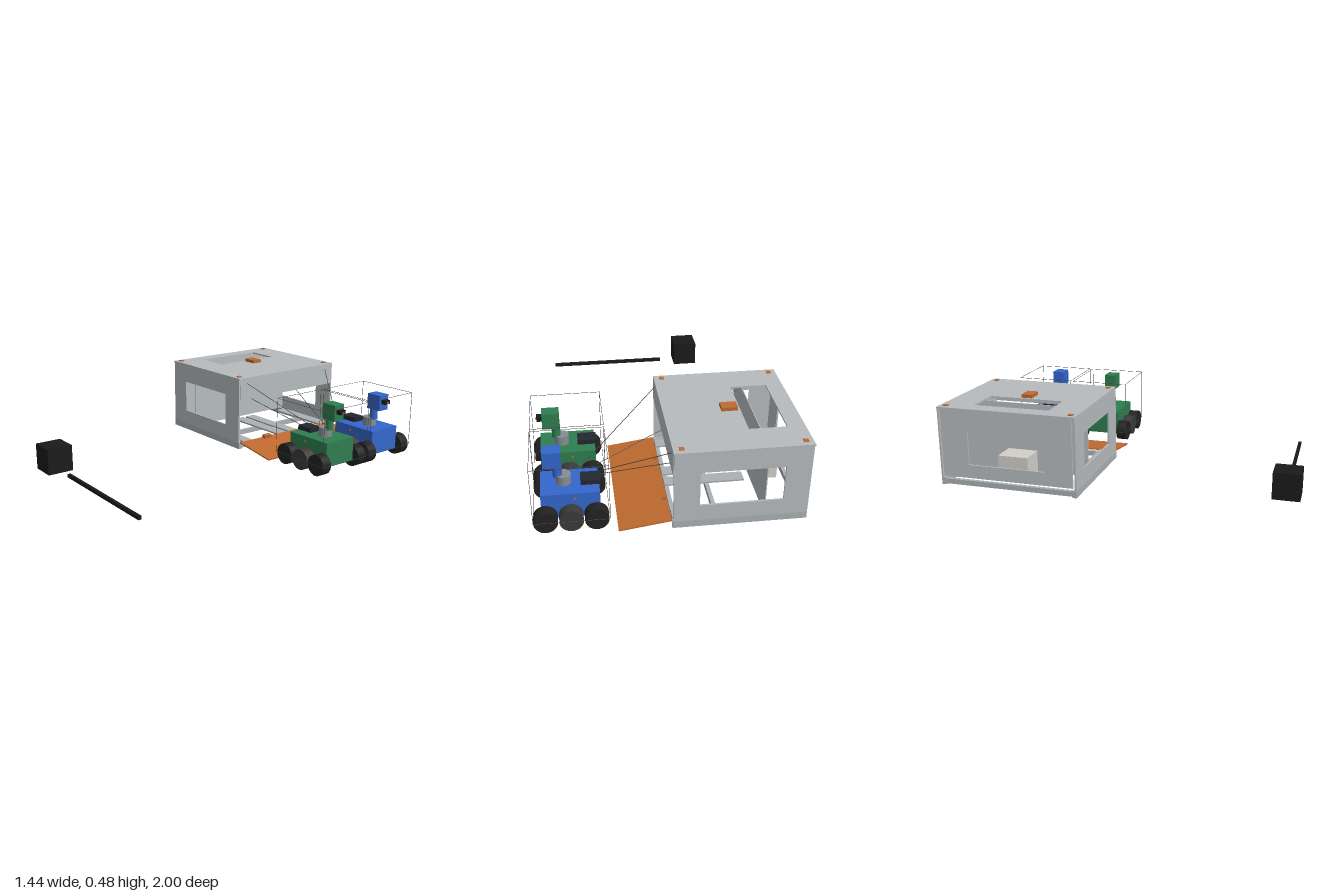
import * as THREE from 'three';

const mat = (color, side = THREE.FrontSide) => new THREE.MeshStandardMaterial({ color, side });
const M = {
  shell: mat(0xb6bbbe), rail: mat(0xaab0b4), orange: mat(0xc06a30), black: mat(0x1a1a1a),
  tyre: mat(0x222222), hub: mat(0x3a3a3a), dark: mat(0x23272f), steel: mat(0x868c92),
  beige: mat(0xd0cfc8), line: mat(0x444444), green: mat(0x2e7d4f), blue: mat(0x3366cc),
};

function add(parent, name, geometry, material) {
  const mesh = new THREE.Mesh(geometry, material);
  mesh.name = name;
  parent.add(mesh);
  return mesh;
}

// Box given by its [min, max] range on each axis
function box(parent, name, material, [x0, x1], [y0, y1], [z0, z1]) {
  const m = add(parent, name, new THREE.BoxGeometry(x1 - x0, y1 - y0, z1 - z0), material);
  m.position.set((x0 + x1) / 2, (y0 + y1) / 2, (z0 + z1) / 2);
  return m;
}

// Thin straight rod between two points
function rod(parent, name, a, b, radius, material = M.line) {
  const p = new THREE.Vector3(...a), d = new THREE.Vector3(...b).sub(p);
  const m = add(parent, name, new THREE.CylinderGeometry(radius, radius, d.length(), 6), material);
  m.position.copy(p).addScaledVector(d, 0.5);
  m.quaternion.setFromUnitVectors(new THREE.Vector3(0, 1, 0), d.normalize());
  return m;
}

// Flat panel in the xy plane with one rectangular opening; arrays are [x0, x1, y0, y1]
function panel(parent, name, outer, hole, depth) {
  const corners = ([x0, x1, y0, y1]) => [[x0, y0], [x1, y0], [x1, y1], [x0, y1]].map(p => new THREE.Vector2(...p));
  const shape = new THREE.Shape(corners(outer));
  shape.holes.push(new THREE.Path(corners(hole).reverse()));
  return add(parent, name, new THREE.ExtrudeGeometry(shape, { depth, bevelEnabled: false }), M.shell);
}

function createShelter() {
  const g = new THREE.Group();
  g.name = 'shelter';
  const mid = -0.59;

  // Side walls with windows
  for (const z of [-0.19, -1])
    panel(g, 'sideWall', [-0.715, -0.003, 0.04, 0.45], [-0.58, -0.14, 0.133, 0.336], 0.01).position.z = z;

  // Rear wall with window (drawn in z, y, then turned)
  const rear = panel(g, 'rearWall', [-0.98, -0.2, 0.055, 0.45], [-0.82, -0.36, 0.133, 0.336], 0.01);
  rear.rotation.y = -Math.PI / 2;
  rear.position.x = -0.708;

  // Roof with hatch (drawn in x, z, then laid flat)
  const roof = panel(g, 'roof', [-0.72, 0, -1, -0.18], [-0.625, -0.42, -0.815, -0.365], 0.01);
  roof.rotation.x = Math.PI / 2;
  roof.position.y = 0.46;

  box(g, 'doorHeader', M.shell, [-0.01, 0], [0.32, 0.45], [-0.99, -0.19]);
  box(g, 'partition', M.shell, [-0.489, -0.484], [0.045, 0.45], [-0.99, -0.19]);
  box(g, 'storageBox', M.beige, [-0.635, -0.495], [0.04, 0.175], [-0.68, -0.5]);

  // Open base frame
  for (const z of [-1, -0.205]) box(g, 'baseRail', M.rail, [-0.715, 0], [0, 0.04], [z, z + 0.025]);
  for (const x of [-0.71, -0.25, -0.025]) box(g, 'crossBeam', M.rail, [x, x + 0.022], [0.005, 0.035], [-0.975, -0.205]);

  // Wheel tracks on the floor
  for (const s of [-1, 1]) for (const off of [0.05, 0.34])
    box(g, 'wheelTrack', M.rail, [-0.45, -0.003], [0.035, 0.045],
      [mid - 0.005 + s * off - 0.037, mid - 0.005 + s * off + 0.037]);

  // Roof fittings
  box(g, 'roofUnit', M.orange, [-0.405, -0.315], [0.46, 0.48], [-0.625, -0.56]);
  for (const x of [-0.68, -0.045]) for (const z of [-0.96, -0.215]) {
    box(g, 'cornerPad', M.orange, [x - 0.013, x + 0.013], [0.458, 0.465], [z - 0.013, z + 0.013]);
    // Cables running from the roof corners to a shared point outside
    rod(g, 'cable', [x, 0.453, z], [0.516, 0.068, mid], 0.002);
  }

  // Ramp with two hinge blocks
  const ramp = box(g, 'ramp', M.orange, [0, 0.28], [0.017, 0.025], [-0.99, -0.19]);
  ramp.rotation.z = -0.145;
  for (const z of [-0.787, -0.402]) {
    const hinge = box(g, 'rampHinge', M.orange, [0.003, 0.03], [0.043, 0.063], [z - 0.028, z + 0.028]);
    hinge.rotation.z = -0.145;
  }
  return g;
}

function createRover(name, paint, zc) {
  const g = new THREE.Group();
  g.name = name;
  g.position.z = zc;

  box(g, 'body', paint, [0.363, 0.67], [0.04, 0.187], [-0.11, 0.11]);
  box(g, 'batteryPack', M.dark, [0.355, 0.46], [0.187, 0.215], [-0.04, 0.04]);

  // Six wheels
  [0.385, 0.517, 0.65].forEach((x, i) => {
    for (const s of [-1, 1]) {
      const w = add(g, 'wheel', new THREE.CylinderGeometry(0.063, 0.063, 0.063, 32), i === 1 ? M.hub : M.tyre);
      w.rotation.x = Math.PI / 2;
      w.position.set(x, 0.063, s * 0.146);
    }
  });

  // Turret, mast and head
  add(g, 'turret', new THREE.CylinderGeometry(0.04, 0.04, 0.053, 32), M.steel).position.set(0.547, 0.2135, 0);
  add(g, 'mast', new THREE.CylinderGeometry(0.024, 0.024, 0.075, 24), paint).position.set(0.577, 0.2675, 0);
  box(g, 'head', paint, [0.555, 0.651], [0.3, 0.395], [-0.038, 0.038]);
  box(g, 'camera', M.black, [0.651, 0.68], [0.343, 0.367], [-0.022, 0.022]);
  rod(g, 'lens', [0.678, 0.352, 0], [0.688, 0.352, 0], 0.006, M.orange);
  for (const s of [-1, 1]) rod(g, 'sideMarker', [0.492, 0.157, s * 0.108], [0.492, 0.157, s * 0.114], 0.007, M.orange);

  // Thin wire frame around the rover
  const X = [0.318, 0.714], Y = [0.065, 0.396], Z = [-0.182, 0.182], r = 0.0012;
  for (const i of [0, 1]) for (const j of [0, 1]) {
    rod(g, 'frameWire', [X[0], Y[i], Z[j]], [X[1], Y[i], Z[j]], r);
    rod(g, 'frameWire', [X[i], Y[0], Z[j]], [X[i], Y[1], Z[j]], r);
    rod(g, 'frameWire', [X[i], Y[j], Z[0]], [X[i], Y[j], Z[1]], r);
  }
  return g;
}

export function createModel() {
  const model = new THREE.Group();
  model.name = 'roverShelter';
  model.add(createShelter());
  model.add(createRover('greenRover', M.green, -0.398));
  model.add(createRover('blueRover', M.blue, -0.784));

  // Loose reference cube and bar in front
  box(model, 'referenceCube', M.black, [-0.44, -0.285], [0, 0.155], [0.845, 1]);
  box(model, 'referenceBar', M.black, [-0.192, 0.578], [0, 0.02], [0.908, 0.927]);
  return model;
}
